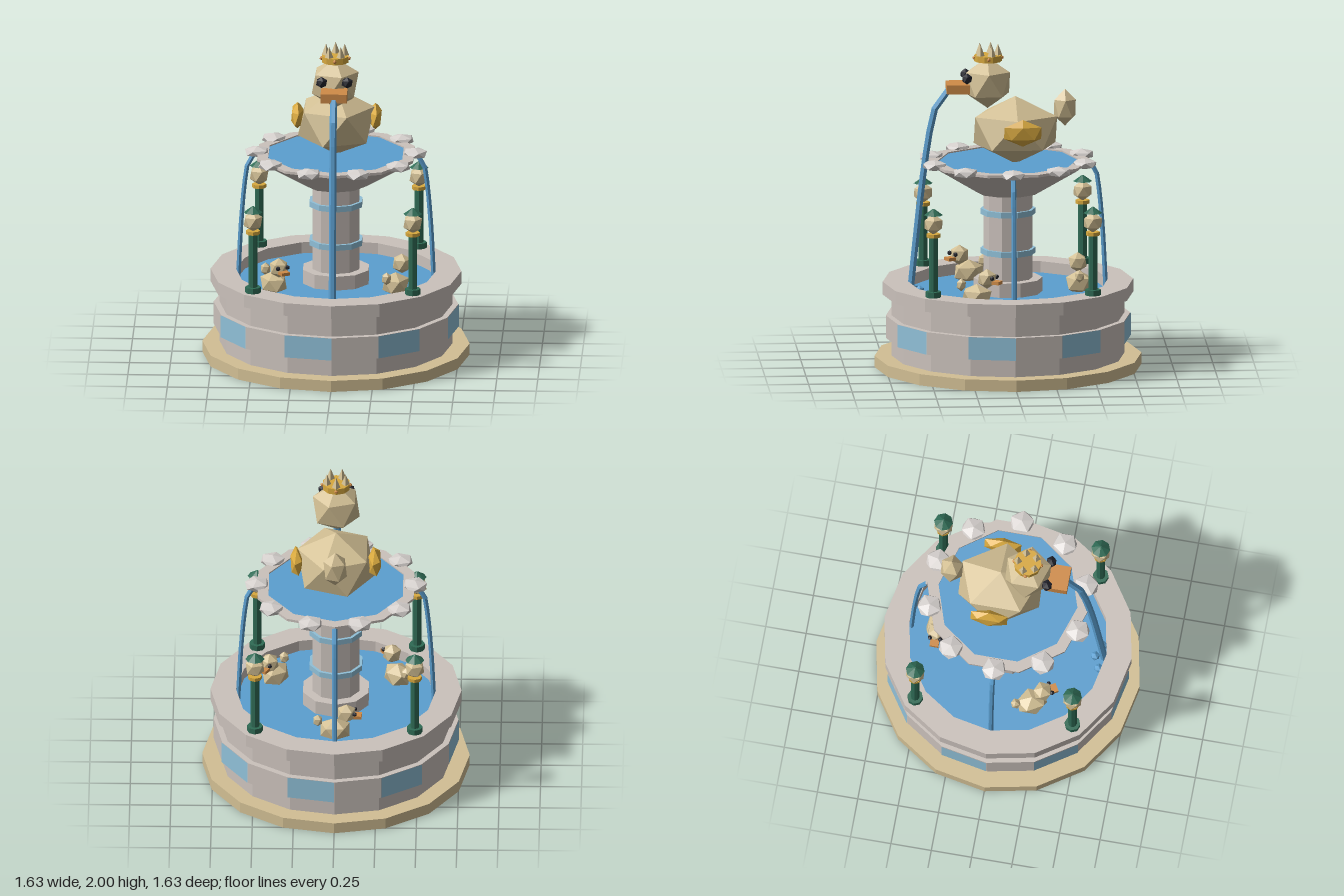
import * as THREE from 'three';

const mat = (name, color) => {
  const m = new THREE.MeshStandardMaterial({ color });
  m.name = name;
  return m;
};

export function createModel() {
  const stone = mat('stone', 0xcbc2bc);
  const paleStone = mat('paleStone', 0xd6d1ce);
  const tan = mat('tan', 0xd2bf94);
  const water = mat('water', 0x5b9fd0);
  const tile = mat('tile', 0x90c0d8);
  const green = mat('green', 0x2f6b55);
  const gold = mat('gold', 0xd8a93f);
  const orange = mat('orange', 0xd08c48);
  const dark = mat('dark', 0x22232c);

  // Every part is faceted
  const add = (parent, name, geo, material, x = 0, y = 0, z = 0) => {
    const g = geo.index ? geo.toNonIndexed() : geo;
    g.computeVertexNormals();
    const mesh = new THREE.Mesh(g, material);
    mesh.name = name;
    mesh.position.set(x, y, z);
    parent.add(mesh);
    return mesh;
  };
  // Cylinder or cone standing between two heights
  const drum = (parent, name, material, rTop, rBottom, y0, y1, sides, x = 0, z = 0) =>
    add(parent, name, new THREE.CylinderGeometry(rTop, rBottom, y1 - y0, sides), material, x, (y0 + y1) / 2, z);
  // Icosahedron with a corner pointing up, stretched to the given radii
  const gem = (parent, name, material, rx, ry, rz, x, y, z) => {
    const geo = new THREE.IcosahedronGeometry(1, 0).rotateZ(-0.5536).scale(rx, ry, rz);
    return add(parent, name, geo, material, x, y, z);
  };
  const lathe = (parent, name, material, points, sides) =>
    add(parent, name, new THREE.LatheGeometry(points.map(p => new THREE.Vector2(...p)), sides), material);
  const group = (parent, name) => {
    const g = new THREE.Group();
    g.name = name;
    parent.add(g);
    return g;
  };

  const model = new THREE.Group();
  model.name = 'duckFountain';

  // Basin
  const basin = group(model, 'basin');
  drum(basin, 'plinth', tan, 0.815, 0.815, 0, 0.07, 16);
  lathe(basin, 'basinWall', stone, [
    [0.71, 0.07], [0.71, 0.18], [0.746, 0.18], [0.746, 0.32], [0.71, 0.32],
    [0.71, 0.45], [0.765, 0.45], [0.765, 0.53], [0.61, 0.53], [0.61, 0.44]], 16);
  const step = Math.PI / 8;
  for (let k = 1; k < 16; k += 2) {
    const panel = new THREE.CylinderGeometry(0.75, 0.75, 0.14, 1, 1, true, k * step, step);
    add(basin, 'tilePanel', panel, tile, 0, 0.25, 0);
  }
  drum(basin, 'basinWater', water, 0.612, 0.612, 0.45, 0.46, 16);

  // Column and upper bowl
  const column = group(model, 'column');
  drum(column, 'columnFoot', stone, 0.21, 0.21, 0.45, 0.548, 10);
  drum(column, 'columnShaft', stone, 0.15, 0.15, 0.54, 1.09, 10);
  for (const y of [0.7, 0.945]) drum(column, 'columnRing', tile, 0.168, 0.168, y, y + 0.035, 10);
  const bowl = group(model, 'upperBowl');
  lathe(bowl, 'bowlShell', stone, [
    [0, 1.08], [0.192, 1.08], [0.5, 1.262], [0.5, 1.278], [0.43, 1.278], [0.43, 1.262]], 10);
  drum(bowl, 'bowlWater', water, 0.432, 0.432, 1.26, 1.27, 10);
  for (let i = 0; i < 10; i++) {
    const a = i * Math.PI / 5;
    const rock = gem(bowl, 'rimRock', paleStone, 0.082, 0.034, 0.082,
      0.482 * Math.cos(a), 1.278, 0.482 * Math.sin(a));
    rock.rotation.y = -a;
  }

  // Water jets: paths given as distance outward and height
  const jet = (name, path, radius, angle) => {
    const curve = new THREE.CatmullRomCurve3(path.map(([r, y]) => new THREE.Vector3(0, y, r)));
    const mesh = add(model, name, new THREE.TubeGeometry(curve, 9, radius, 6), water);
    mesh.rotation.y = angle;
  };
  const spill = [[0.5, 1.265], [0.53, 1.23], [0.552, 1.12], [0.577, 0.85], [0.597, 0.46]];
  for (const a of [Math.PI / 2, Math.PI, -Math.PI / 2]) jet('bowlSpill', spill, 0.016, a);
  jet('beakJet', [[0.365, 1.715], [0.4, 1.69], [0.44, 1.62], [0.475, 1.48],
    [0.52, 1.18], [0.56, 0.82], [0.597, 0.46]], 0.022, 0);
  for (const [x, z] of [[-0.075, 0.575], [0.075, 0.575], [0, 0.54]]) {
    gem(model, 'splash', water, 0.03, 0.03, 0.03, x, 0.475, z);
  }

  // Lamp posts
  for (const x of [-0.487, 0.487]) for (const z of [-0.487, 0.487]) {
    const lamp = group(model, 'lampPost');
    lamp.position.set(x, 0, z);
    drum(lamp, 'lampFoot', green, 0.048, 0.048, 0.53, 0.565, 8);
    drum(lamp, 'lampPole', green, 0.027, 0.027, 0.56, 0.905, 8);
    drum(lamp, 'lampCollar', gold, 0.043, 0.043, 0.902, 0.924, 8);
    gem(lamp, 'lantern', tan, 0.064, 0.064, 0.064, 0, 0.982, 0);
    drum(lamp, 'lampCap', green, 0.005, 0.058, 1.04, 1.078, 8);
  }

  // Large duck
  const duck = group(model, 'duck');
  gem(duck, 'duckBody', tan, 0.262, 0.21, 0.294, 0, 1.465, -0.045);
  gem(duck, 'duckTail', tan, 0.08, 0.115, 0.077, 0, 1.6, -0.347);
  gem(duck, 'duckHead', tan, 0.16, 0.158, 0.158, 0, 1.76, 0.125);
  add(duck, 'duckBeak', new THREE.BoxGeometry(0.16, 0.056, 0.14), orange, 0, 1.733, 0.308);
  for (const s of [-1, 1]) {
    gem(duck, 'duckWing', gold, 0.043, 0.083, 0.133, s * 0.238, 1.49, -0.075);
    gem(duck, 'duckEye', dark, 0.038, 0.035, 0.034, s * 0.078, 1.8, 0.255);
  }

  // Crown
  const crown = group(duck, 'crown');
  crown.position.set(0, 0, 0.122);
  drum(crown, 'crownBand', gold, 0.085, 0.085, 1.895, 1.933, 10);
  for (let i = 0; i < 5; i++) {
    const a = Math.PI + i * Math.PI * 0.4;
    drum(crown, 'crownSpike', tan, 0.001, 0.027, 1.93, 2, 4, 0.06 * Math.sin(a), 0.06 * Math.cos(a));
  }
  for (let i = 0; i < 4; i++) {
    const a = i * Math.PI / 2;
    gem(crown, 'crownJewel', orange, 0.013, 0.013, 0.013, 0.084 * Math.sin(a), 1.916, 0.084 * Math.cos(a));
  }

  // Ducklings swimming in a ring around the column
  for (let i = 0; i < 3; i++) {
    const a = Math.PI / 3 + i * Math.PI * 2 / 3;
    const d = group(model, 'duckling');
    d.position.set(0.43 * Math.sin(a), 0, 0.43 * Math.cos(a));
    d.rotation.y = a + Math.PI / 2;
    gem(d, 'ducklingBody', tan, 0.085, 0.075, 0.105, 0, 0.51, 0);
    gem(d, 'ducklingTail', tan, 0.032, 0.04, 0.032, 0, 0.57, -0.105);
    gem(d, 'ducklingHead', tan, 0.062, 0.062, 0.062, 0, 0.623, 0.07);
    add(d, 'ducklingBeak', new THREE.BoxGeometry(0.055, 0.02, 0.05), orange, 0, 0.605, 0.138);
    for (const s of [-1, 1]) gem(d, 'ducklingEye', dark, 0.015, 0.015, 0.015, s * 0.032, 0.634, 0.12);
  }

  return model;
}
